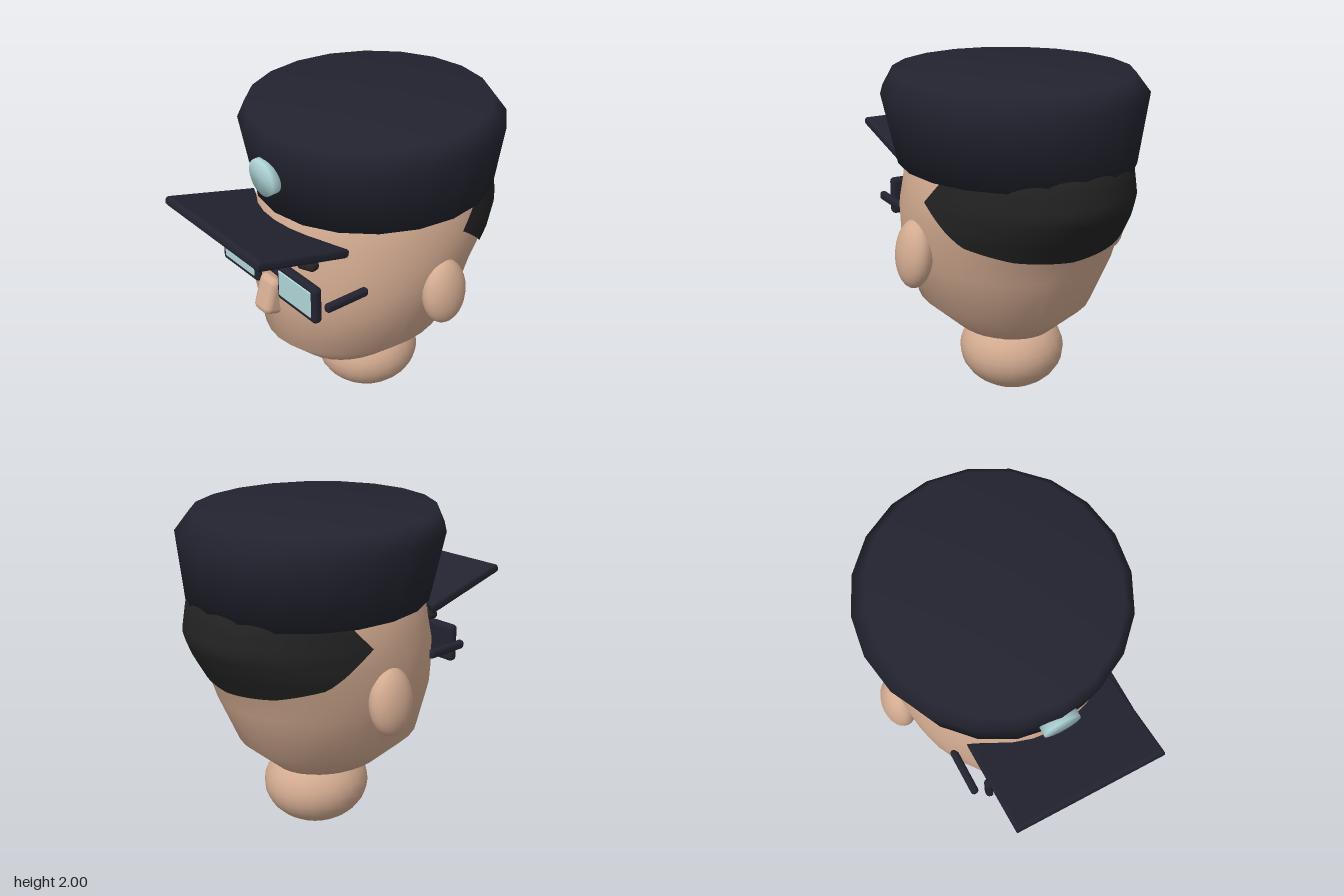
import * as THREE from 'three';
import { mergeVertices } from 'three/addons/utils/BufferGeometryUtils.js';
import { RoundedBoxGeometry } from 'three/addons/geometries/RoundedBoxGeometry.js';

const mat = (name, color) => Object.assign(new THREE.MeshStandardMaterial({ color }), { name });

// Share every vertex so shading rolls over all edges
function smooth(geo) {
  geo.deleteAttribute('normal');
  geo.deleteAttribute('uv');
  const g = mergeVertices(geo, 1e-4);
  g.computeVertexNormals();
  return g;
}

function buildGeometry(pos, index) {
  const g = new THREE.BufferGeometry();
  g.setAttribute('position', new THREE.Float32BufferAttribute(pos, 3));
  g.setIndex(index);
  g.computeVertexNormals();
  return g;
}

// Stack of elliptical rings [y, halfWidth, zFront, zBack], closed at both ends
function loft(rings, sides) {
  const pos = [], index = [];
  for (const [y, rx, zf, zb] of rings) {
    for (let i = 0; i < sides; i++) {
      const a = (i / sides) * Math.PI * 2;
      pos.push(rx * Math.sin(a), y, (zf + zb) / 2 + ((zf - zb) / 2) * Math.cos(a));
    }
  }
  for (let r = 0; r < rings.length - 1; r++) {
    for (let i = 0; i < sides; i++) {
      const j = (i + 1) % sides, a = r * sides, b = a + sides;
      index.push(a + i, a + j, b + j, a + i, b + j, b + i);
    }
  }
  const last = (rings.length - 1) * sides, bottom = pos.length / 3;
  for (const [y, , zf, zb] of [rings[0], rings[rings.length - 1]]) pos.push(0, y, (zf + zb) / 2);
  for (let i = 0; i < sides; i++) {
    const j = (i + 1) % sides;
    index.push(bottom, j, i, bottom + 1, last + i, last + j);
  }
  return buildGeometry(pos, index);
}

const HEAD = [
  [0.4, 0.293, 0.35, -0.4], [0.6, 0.515, 0.56, -0.63], [0.9, 0.62, 0.605, -0.76],
  [1.03, 0.642, 0.605, -0.805], [1.2, 0.665, 0.6, -0.905], [1.33, 0.652, 0.58, -0.965],
  [1.5, 0.632, 0.545, -0.935], [1.65, 0.55, 0.45, -0.84], [1.8, 0.35, 0.25, -0.6],
];
const HAT = [[1.48, 0.69, 0.555, -0.93], [1.89, 0.775, 0.63, -0.96], [2, 0.697, 0.595, -0.875]];

// Linear lookup in a list of [key, ...values]
function lerpTable(table, k) {
  let i = 0;
  while (i < table.length - 2 && k > table[i + 1][0]) i++;
  const [a, b] = [table[i], table[i + 1]], t = (k - a[0]) / (b[0] - a[0]);
  return a.map((v, n) => v + (b[n] - v) * t);
}

// Hair: a patch lying just outside the back of the head, pointed at each temple
function hairGeometry() {
  const pos = [], index = [], cols = 48, rows = 12, gap = 0.014;
  for (let c = 0; c <= cols; c++) {
    const deg = -82 + (164 * c) / cols, d = Math.abs(deg), a = (deg * Math.PI) / 180;
    const low = lerpTable([[0, 1.03], [30, 1.06], [56, 1.13], [82, 1.34]], d)[1];
    const high = Math.min(1.62, 1.34 + (82 - d) * 0.014);
    for (let r = 0; r <= rows; r++) {
      const y = low + ((high - low) * r) / rows;
      const [, rx, zf, zb] = lerpTable(HEAD, y);
      pos.push((rx + gap) * Math.sin(a), y, (zf + zb) / 2 - ((zf - zb) / 2 + gap) * Math.cos(a));
    }
  }
  for (let c = 0; c < cols; c++) {
    for (let r = 0; r < rows; r++) {
      const p = c * (rows + 1) + r, q = p + rows + 1;
      index.push(p, p + 1, q + 1, p, q + 1, q);
    }
  }
  return buildGeometry(pos, index);
}

// Visor: rounded slab with a concave rear edge that follows the forehead
function visorGeometry() {
  const s = new THREE.Shape();
  s.moveTo(-0.447, 0);
  s.quadraticCurveTo(0, 0.28, 0.447, 0);
  s.lineTo(0.447, 0.575);
  s.lineTo(-0.447, 0.575);
  s.closePath();
  const g = new THREE.ExtrudeGeometry(s, {
    depth: 0.02, bevelThickness: 0.02, bevelSize: 0.02, bevelSegments: 3, curveSegments: 16,
  });
  return g.rotateX(Math.PI / 2).translate(0, 0.01, 0);
}

export function createModel() {
  const group = new THREE.Group();
  group.name = 'cappedHead';
  const skin = mat('skin', 0xd3ab91);
  const navy = mat('navy', 0x232330);
  const black = mat('hairBlack', 0x222222);
  black.side = THREE.DoubleSide;
  const glass = mat('paleGlass', 0xb0d6d8);

  const add = (name, geo, material, p = [0, 0, 0], r = [0, 0, 0]) => {
    const m = new THREE.Mesh(geo, material);
    m.name = name;
    m.position.set(...p);
    m.rotation.set(...r);
    group.add(m);
    return m;
  };
  const rounded = (w, h, d, r) => new RoundedBoxGeometry(w, h, d, 3, r);
  const ellipsoid = (x, y, z) => new THREE.SphereGeometry(1, 24, 16).scale(x, y, z);

  // Head, neck and nose
  add('head', loft(HEAD, 32), skin);
  add('neck', ellipsoid(0.32, 0.255, 0.33), skin, [0, 0.255, -0.14]);
  add('nose', rounded(0.15, 0.24, 0.14, 0.045), skin, [0, 0.95, 0.6], [-0.3, 0, 0]);
  add('hair', hairGeometry(), black);

  // Cap with visor and round badge
  add('cap', loft(HAT, 20), navy);
  add('visor', visorGeometry(), navy, [0, 1.365, 0.41], [-0.245, 0, 0]);
  const badge = smooth(new THREE.CylinderGeometry(0.112, 0.112, 0.065, 24).rotateX(Math.PI / 2));
  add('badge', badge, glass, [0, 1.73, 0.606], [0.06, 0, 0]);

  // Paired parts: ears, brows and spectacles
  for (const [side, s] of [['left', 1], ['right', -1]]) {
    add(side + 'Ear', ellipsoid(0.1, 0.205, 0.15), skin, [0.665 * s, 0.99, -0.165], [0, 0, 0.1 * s]);
    add(side + 'Eyebrow', rounded(0.13, 0.055, 0.07, 0.025), black, [0.29 * s, 1.265, 0.542], [0, 0.2 * s, 0.15 * s]);
    add(side + 'Frame', rounded(0.365, 0.235, 0.06, 0.025), navy, [0.282 * s, 1.097, 0.602]);
    add(side + 'Lens', rounded(0.31, 0.178, 0.04, 0.012), glass, [0.278 * s, 1.1, 0.617]);
    add(side + 'Bridge', rounded(0.09, 0.042, 0.05, 0.018), navy, [0.058 * s, 1.135, 0.595], [0, 0, -0.06 * s]);
    add(side + 'Temple', rounded(0.046, 0.054, 0.295, 0.02), navy, [0.525 * s, 1.115, 0.453]);
  }
  return group;
}
